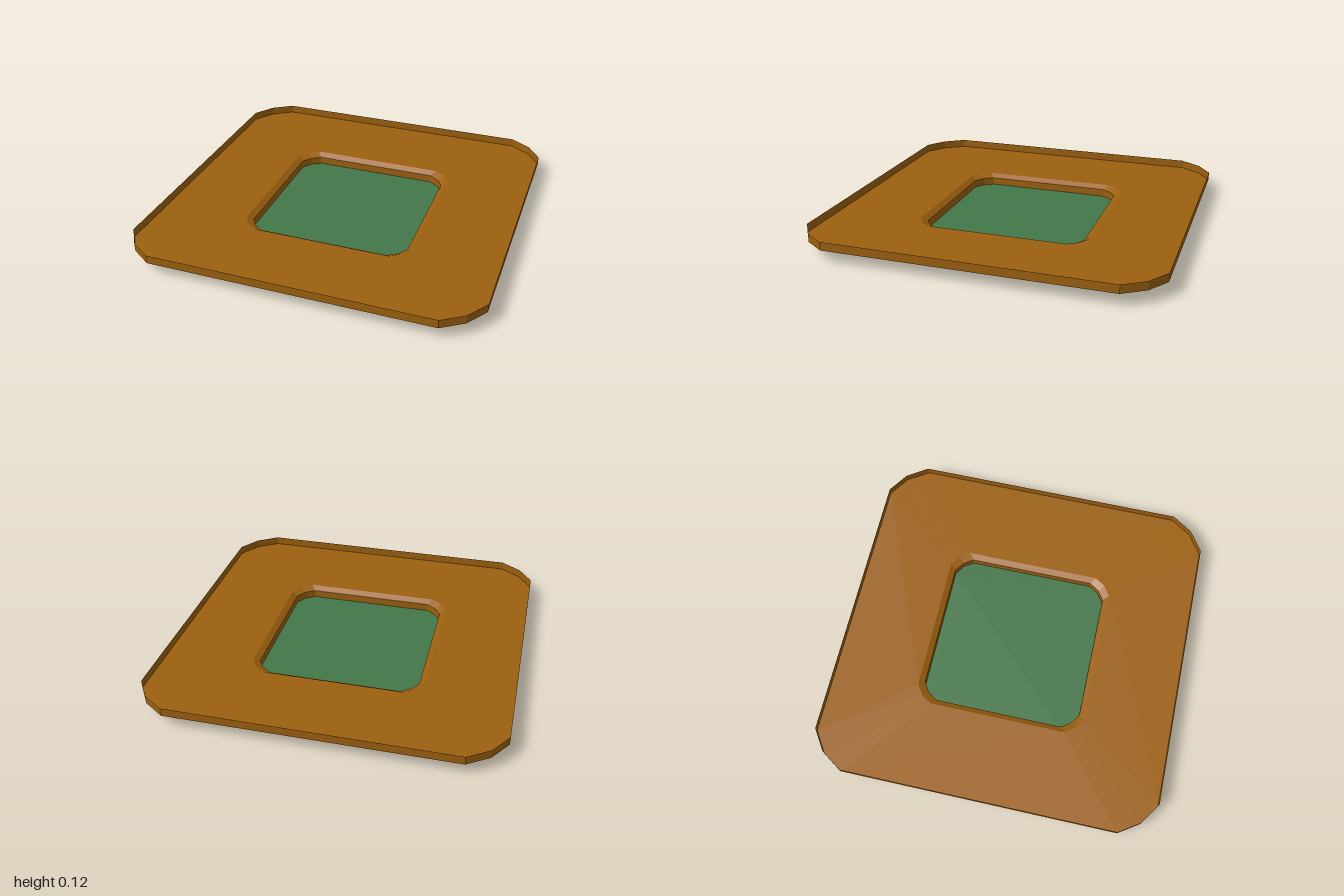
import * as THREE from 'three';

// Square outline with chamfered corners, half-width 1, running from +x towards +z
const outline = [];
for (let k = 0; k < 4; k++) {
  for (const [x, z] of [[1, 0.8], [0.92, 0.92], [0.8, 1]]) {
    const p = new THREE.Vector2(x, z).rotateAround(new THREE.Vector2(), k * Math.PI / 2);
    outline.push(p);
  }
}

// Sheet joining two outlines, each given as [half-width, height], lower/inner first
function band(name, [s0, y0], [s1, y1], material) {
  const pos = [];
  const n = outline.length;
  const at = (i, s, y) => [outline[i % n].x * s, y, outline[i % n].y * s];
  for (let i = 0; i < n; i++) {
    const a = at(i, s0, y0), b = at(i + 1, s0, y0);
    const c = at(i + 1, s1, y1), d = at(i, s1, y1);
    pos.push(...a, ...b, ...c, ...a, ...c, ...d);
  }
  const geometry = new THREE.BufferGeometry();
  geometry.setAttribute('position', new THREE.Float32BufferAttribute(pos, 3));
  geometry.computeVertexNormals();
  const mesh = new THREE.Mesh(geometry, material);
  mesh.name = name;
  return mesh;
}

export function createModel() {
  const group = new THREE.Group();
  group.name = 'tray';
  const paint = (color) => new THREE.MeshStandardMaterial({ color, side: THREE.DoubleSide, flatShading: true });
  const brown = paint(0x9c600f);
  const green = paint(0x43774a);

  // Thin shell from the recessed well out to the raised rim
  const floor = [0.467, 0], wellTop = [0.467, 0.045];
  const lip = [0.5, 0.067], edge = [1, 0.071], rimTop = [1, 0.12];
  group.add(
    band('wellWall', floor, wellTop, brown),
    band('wellBevel', wellTop, lip, brown),
    band('plate', lip, edge, brown),
    band('rim', edge, rimTop, brown)
  );

  // Green floor of the well
  const shape = new THREE.Shape(outline.map((p) => p.clone().multiplyScalar(floor[0])));
  const well = new THREE.Mesh(new THREE.ShapeGeometry(shape).rotateX(-Math.PI / 2), green);
  well.name = 'wellFloor';
  group.add(well);
  return group;
}
